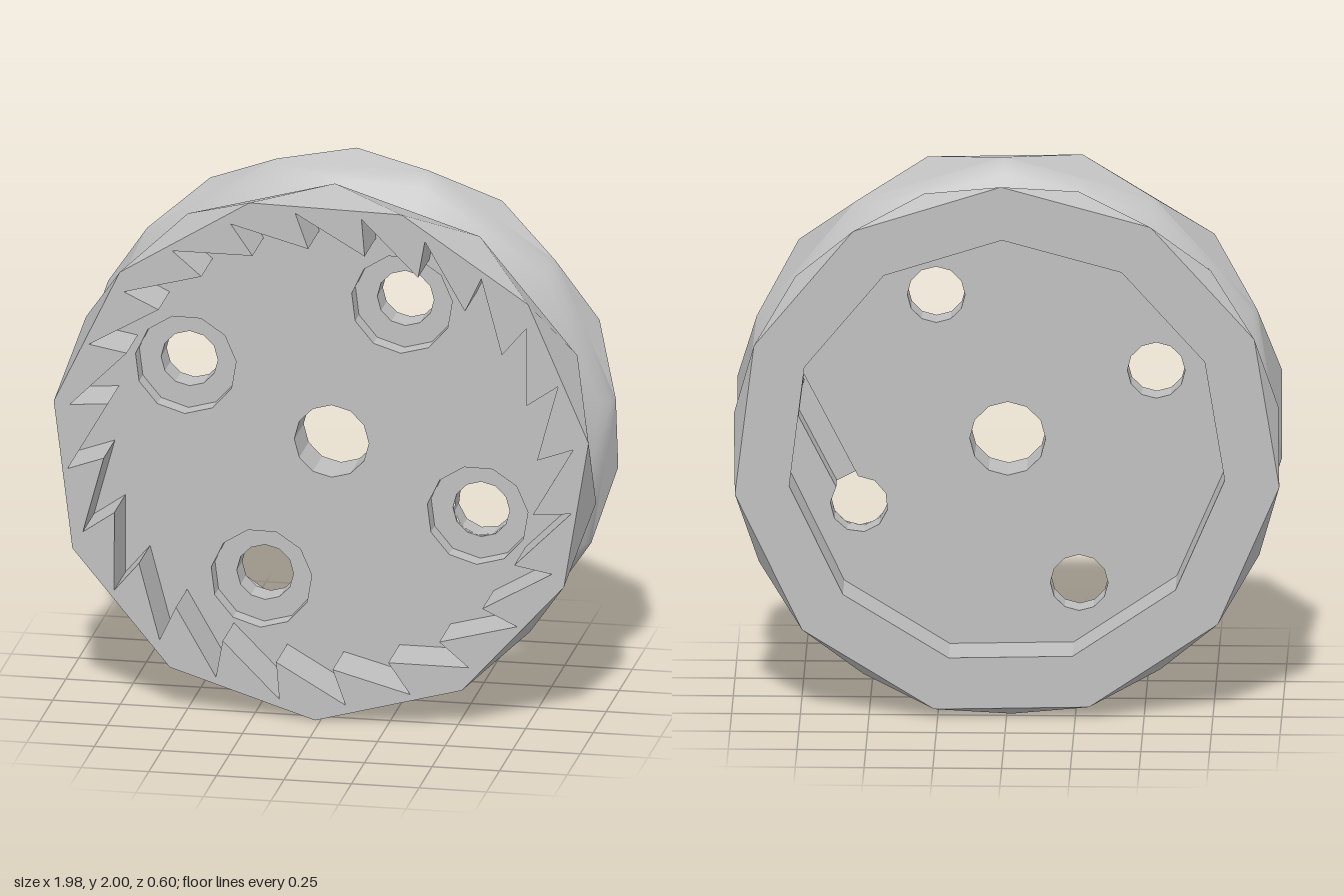
import * as THREE from 'three';
import { toCreasedNormals } from 'three/addons/utils/BufferGeometryUtils.js';

const SIDES = 22, STEP = Math.PI * 2 / SIDES, PHASE = THREE.MathUtils.degToRad(72.5);
const FRONT = 0.3, FRONT_FLOOR = 0.085, BORE_STEP = 0.012, SLOT_FLOOR = 0, BACK_FLOOR = -0.095, BACK = -0.3;

const polar = (r, a, cx = 0, cy = 0) => new THREE.Vector2(cx + r * Math.cos(a), cy + r * Math.sin(a));
const circle = (r, n, cx = 0, cy = 0, a0 = 0) =>
  Array.from({ length: n }, (_, i) => polar(r, a0 + i * Math.PI * 2 / n, cx, cy));
const atZ = (pts, z) => pts.map(p => new THREE.Vector3(p.x, p.y, z));
// 11-sided outline, turned half a side when odd
const elevenSides = (r, odd) => circle(r, SIDES / 2, 0, 0, PHASE - (odd ? STEP : 0));
// 22-sided outline whose alternate corners are drawn in towards an 11-sided one
const rim = (r, odd, flat) => circle(r, SIDES, 0, 0, PHASE).map((p, i) =>
  (i % 2 === 1) === odd ? p : p.multiplyScalar(THREE.MathUtils.lerp(1, Math.cos(STEP), flat)));

// Faces between matching rings; outward when a is in front of b
function strip(a, b, skip = -1) {
  const out = [], n = a.length;
  for (let i = 0; i < n; i++) {
    if (i === skip) continue;
    const j = (i + 1) % n;
    for (const p of [a[i], b[i], b[j], a[i], b[j], a[j]]) out.push(p.x, p.y, p.z);
  }
  return out;
}
function surface(values) {
  const g = new THREE.BufferGeometry();
  g.setAttribute('position', new THREE.Float32BufferAttribute(values, 3));
  g.computeVertexNormals();
  return g;
}
function plate(outline, holes, z, faceBack = false) {
  const s = new THREE.Shape(outline);
  holes.forEach(h => s.holes.push(new THREE.Path(h)));
  const g = new THREE.ShapeGeometry(s);
  if (faceBack) g.setIndex(Array.from(g.index.array).reverse());
  g.translate(0, 0, z);
  g.computeVertexNormals();
  return g;
}

export function createModel() {
  const group = new THREE.Group();
  const wheel = new THREE.Group();
  wheel.name = 'pulleyWheel';
  wheel.position.y = 1;
  group.add(wheel);
  const grey = new THREE.MeshStandardMaterial({ color: 0xc0c0c0 });
  grey.name = 'grey';
  const add = (name, geometry) => {
    const m = new THREE.Mesh(geometry, grey);
    m.name = name;
    wheel.add(m);
  };

  // Flange edges, each twisted half a side between rim and crest
  add('frontFlange', surface(strip(atZ(elevenSides(1, false), FRONT), atZ(elevenSides(1, true), 0.125))));
  add('backFlange', surface(strip(atZ(elevenSides(1, false), -0.225), atZ(elevenSides(1, true), BACK))));

  // Rope groove, with one floor segment left out for the rope hole
  // [z, radius, flattening]
  const profile = [[0.125, 1, 1], [0.095, 0.985, 1], [0.07, 0.95, 0.8], [0.035, 0.88, 0.3], [0.002, 0.85, 0],
    [-0.102, 0.85, 0], [-0.13, 0.88, 0.3], [-0.165, 0.95, 0.8], [-0.195, 0.985, 1], [-0.225, 1, 1]];
  const rings = profile.map(([z, r, flat]) => atZ(rim(r, z > 0, flat), z));
  const groove = [];
  for (let i = 0; i < rings.length - 1; i++) groove.push(...strip(rings[i], rings[i + 1], i === 4 ? 18 : -1));
  add('ropeGroove', toCreasedNormals(surface(groove), 0.7));

  // Hooked ratchet teeth inside the front rim
  const teeth = [];
  for (let i = 0; i < 24; i++) {
    const a = THREE.MathUtils.degToRad(95.7 + 15 * i);
    teeth.push(polar(0.94, a), polar(0.803, a - 0.043));
  }
  add('frontRim', plate(elevenSides(1, false), [teeth], FRONT));
  add('ratchetTeeth', surface(strip(atZ(teeth, FRONT_FLOOR), atZ(teeth, FRONT))));

  // Back rim and recess wall
  const recess = elevenSides(0.8, true);
  add('backRim', plate(elevenSides(1, true), [recess], BACK, true));
  add('recessWall', surface(strip(atZ(recess, BACK), atZ(recess, BACK_FLOOR))));

  // Axle bore
  const axle = circle(0.138, 12);
  add('axleBore', surface(strip(atZ(axle, BACK_FLOOR), atZ(axle, FRONT_FLOOR))));

  // Rope hole in the groove floor
  const mid = PHASE + STEP * 18.5, half = 0.85 * Math.sin(STEP / 2), apothem = 0.85 * Math.cos(STEP / 2);
  const frame = new THREE.Matrix4().makeBasis(
    new THREE.Vector3(-Math.sin(mid), Math.cos(mid), 0),
    new THREE.Vector3(0, 0, 1),
    new THREE.Vector3(Math.cos(mid), Math.sin(mid), 0)
  ).setPosition(apothem * Math.cos(mid), apothem * Math.sin(mid), -0.05);
  const patch = [[-half, -0.052], [half, -0.052], [half, 0.052], [-half, 0.052]]
    .map(p => new THREE.Vector2(...p));
  const mouth = circle(0.046, 10, 0.038, 0);
  add('ropeHoleSurround', plate(patch, [mouth], 0).applyMatrix4(frame));

  // Rope tunnel running obliquely towards a bolt hole
  const target = new THREE.Vector2(0.54, -0.25);
  const start = new THREE.Vector3(0.038, 0, 0).applyMatrix4(frame);
  const dir = new THREE.Vector2(start.x - target.x, start.y - target.y).normalize();
  const outer = atZ(mouth, 0).map(p => p.applyMatrix4(frame));
  const inner = outer.map(p => p.clone().add(new THREE.Vector3(-dir.x * 0.11, -dir.y * 0.11, 0)));
  add('ropeTunnel', surface(strip(inner, outer)));

  // Slot outline: part of the bolt hole plus two sides reaching the recess wall
  const boreR = 0.105, slotHalf = 0.045;
  const heading = Math.atan2(dir.y, dir.x), gap = Math.asin(slotHalf / boreR);
  const wall = polar(1, PHASE + STEP * 18);
  const reach = p => p.clone().addScaledVector(dir, (0.764 - p.dot(wall)) / dir.dot(wall));
  const arc = Array.from({ length: 10 }, (_, i) =>
    polar(boreR, heading + gap + i * (Math.PI * 2 - 2 * gap) / 9, target.x, target.y));
  const keyhole = [...arc, reach(arc[9]), reach(arc[0])];
  add('ropeSlotWalls', surface(strip(atZ(keyhole, BACK_FLOOR), atZ(keyhole, SLOT_FLOOR))));
  add('ropeSlotFloor', plate([arc[9], keyhole[10], keyhole[11], arc[0]], [], SLOT_FLOOR, true));

  // Four counterbored bolt holes
  const centres = [[0.26, 0.54], [-0.54, 0.26], [-0.26, -0.54], [0.54, -0.25]];
  const frontHoles = [axle], backHoles = [axle];
  centres.forEach(([x, y], i) => {
    const slotted = i === 3;
    const bore = circle(boreR, 12, x, y), counter = circle(0.188, 11, x, y, PHASE);
    frontHoles.push(counter);
    backHoles.push(slotted ? keyhole : bore);
    add('counterboreWall', surface(strip(atZ(counter, BORE_STEP), atZ(counter, FRONT_FLOOR))));
    add('counterboreSeat', plate(counter, [bore], BORE_STEP));
    add('boltHole', surface(strip(atZ(bore, slotted ? SLOT_FLOOR : BACK_FLOOR), atZ(bore, BORE_STEP))));
  });

  // Web faces
  add('frontWeb', plate(teeth, frontHoles, FRONT_FLOOR));
  add('backWeb', plate(recess, backHoles, BACK_FLOOR, true));
  return group;
}
